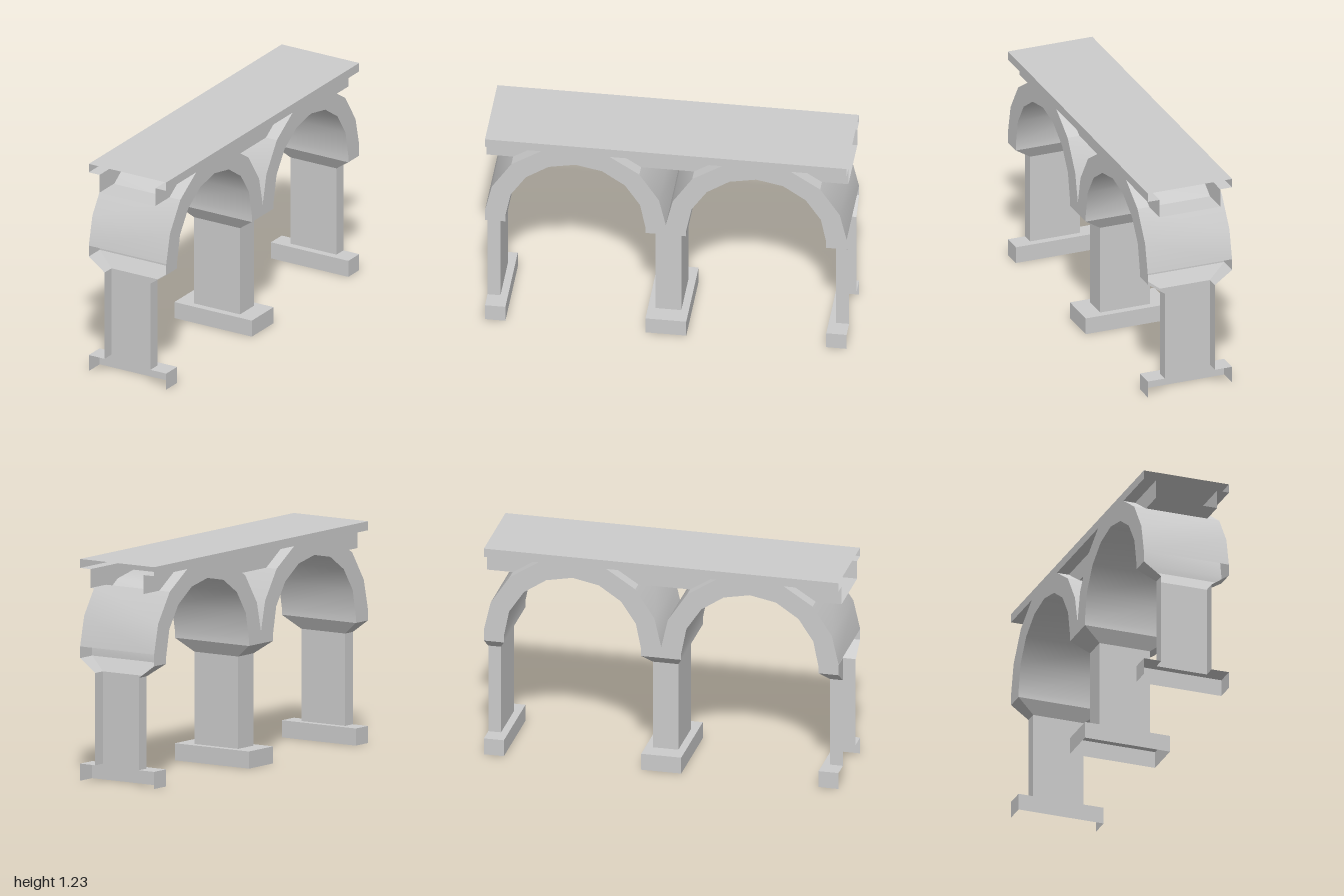
import * as THREE from 'three';
import { toCreasedNormals } from 'three/addons/utils/BufferGeometryUtils.js';

const W = 0.25, INNER = 0.18;                 // half width of the bridge, half width of the core
const DECK = 1.23, LEDGE = 1.18, FLOOR = 1.075; // heights
const SPRING = 0.72, FOOT = 0.68, R_IN = 0.387, R_OUT = 0.5;

const material = new THREE.MeshStandardMaterial({ color: 0xcccccc, side: THREE.DoubleSide });

// Skin a sheet over rows of [x, y, z] points
function sheet(rows, crease = 0.6) {
  const n = rows[0].length, index = [];
  for (let i = 0; i < rows.length - 1; i++)
    for (let j = 0; j < n - 1; j++) {
      const a = i * n + j, b = a + n;
      index.push(a, b, a + 1, b, b + 1, a + 1);
    }
  const g = new THREE.BufferGeometry();
  g.setAttribute('position', new THREE.Float32BufferAttribute(rows.flat(2), 3));
  g.setIndex(index);
  return toCreasedNormals(g, crease);
}

// Sweep a [z, y] profile from x0 to x1
const sweep = (profile, x0, x1) =>
  sheet([x0, x1].map(x => profile.map(([z, y]) => [x, y, z])));

// Flat panel in the z-y plane at a given x
function panel(outline, x, hole) {
  const v = pts => pts.map(p => new THREE.Vector2(...p));
  const shape = new THREE.Shape(v(outline));
  if (hole) shape.holes.push(new THREE.Path(v(hole)));
  return new THREE.ShapeGeometry(shape).rotateY(-Math.PI / 2).translate(x, 0, 0);
}

const mirrorZ = pts => pts.map(([z, y]) => [-z, y]).reverse();
const shift = (pts, d) => pts.map(([z, y]) => [z + d, y]);

export function createModel() {
  const group = new THREE.Group();
  const add = (name, geometry) => {
    const mesh = new THREE.Mesh(geometry, material);
    mesh.name = name;
    group.add(mesh);
  };

  // Underside of one arch, centred on z = 0, from +z to -z
  const soffit = [[R_IN, FOOT]];
  for (let i = 0; i <= 8; i++) {
    const a = i * Math.PI / 8;
    soffit.push([R_IN * Math.cos(a), SPRING + R_IN * Math.sin(a)]);
  }
  soffit.push([-R_IN, FOOT]);

  // Outer curve of an arch, from its top at the ledge down to the pier (z from arch centre)
  const back = [[0.19, LEDGE], [0.354, FLOOR], [R_OUT * Math.cos(Math.PI / 8), 0.911], [R_OUT, 0.745]];
  const endBack = shift(back, 0.5);                 // falls to z = 1
  const midBack = shift(mirrorZ(back), 0.5);        // rises from z = 0

  // Side walls: both arches and the deck edge in one panel, with the middle spandrel cut out
  const half = [[1, DECK], [1, LEDGE], ...endBack, [1, FOOT], ...shift(soffit, 0.5)];
  const outline = [...half, ...mirrorZ(half)];
  const hole = [...midBack, ...mirrorZ(midBack).slice(0, -1)];
  for (const s of [-1, 1]) add('sideWall', panel(outline, s * W, hole));

  // Deck top
  add('deckTop', sweep([[1, DECK], [-1, DECK]], -W, W));

  for (const d of [-1, 1]) {
    add('archSoffit', sweep(shift(soffit, d * 0.5), -W, W));
    for (const curve of [endBack, mirrorZ(midBack).map(([z, y]) => [-z, y])]) {
      // Lower arch back at full width, upper part only outside the core
      const c = curve.map(([z, y]) => [z * d, y]).sort((p, q) => q[1] - p[1]);
      add('archBack', sweep(c.slice(1), -W, W));
      for (const s of [-1, 1]) add('archShoulder', sweep(c.slice(0, 2), s * INNER, s * W));
    }
  }

  // Recessed core below the deck: at the two ends and in the middle
  const cores = [
    { top: [0.69, 1], low: [0.854, 1] },
    { top: [-0.31, 0.31], low: [-0.146, 0.146] },
    { top: [-1, -0.69], low: [-1, -0.854] },
  ];
  for (const { top, low } of cores) {
    add('coreFloor', sweep(low.map(z => [z, FLOOR]), -INNER, INNER));
    const wall = [[top[0], LEDGE], [low[0], FLOOR], [low[1], FLOOR], [top[1], LEDGE]];
    for (const s of [-1, 1]) {
      add('coreWall', panel(wall, s * INNER));
      add('deckLedge', sweep(top.map(z => [z, LEDGE]), s * INNER, s * W));
    }
  }

  // Hollow piers: [half width, half depth, height] from base to flared capital
  const rings = [
    [W, 0.113, 0], [W, 0.113, 0.095], [0.148, 0.072, 0.095],
    [0.148, 0.072, 0.607], [W, 0.113, FOOT],
  ];
  const full = [[1, 1], [1, -1], [-1, -1], [-1, 1], [1, 1]];
  const halfPath = [[1, 0], [1, -1], [-1, -1], [-1, 0]];
  const pier = (path, z0, flip) => sheet(
    rings.map(([w, d, y]) => path.map(([x, z]) => [x * w * flip, y, z0 + z * d * flip])), 0.1);
  add('middlePier', pier(full, 0, 1));
  add('frontHalfPier', pier(halfPath, 1, 1));
  add('backHalfPier', pier(halfPath, -1, -1));

  return group;
}
